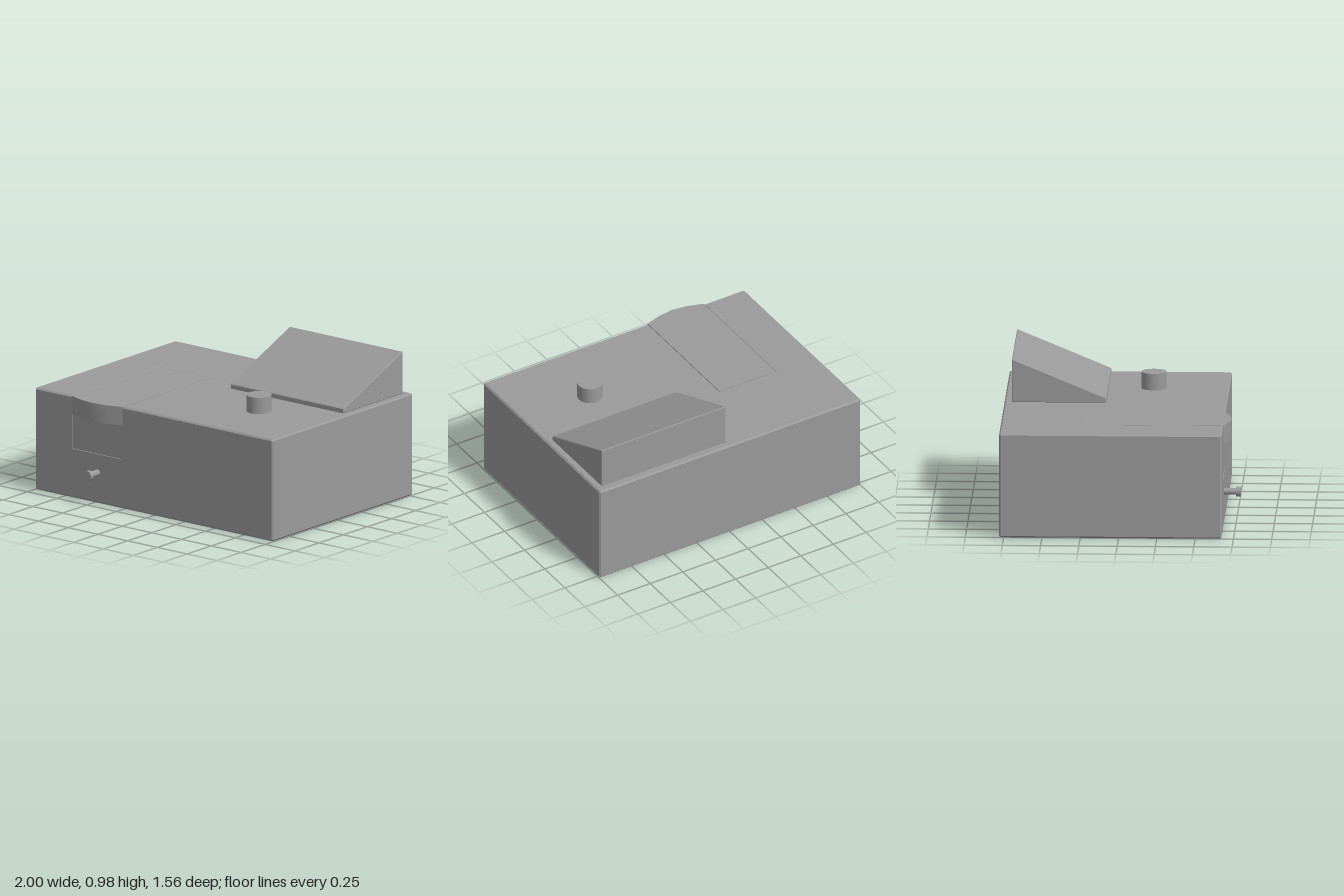
import * as THREE from 'three';
import { toCreasedNormals } from 'three/addons/utils/BufferGeometryUtils.js';

const material = new THREE.MeshStandardMaterial({ color: 0x9a9a9a });
const CHAMFER = 0.01;

// Slab from a plan outline of [x, z] points, with optional chamfers below and above
function slab(plan, y0, y1, low = false, high = false) {
  const shape = new THREE.Shape(plan.map(([x, z]) => new THREE.Vector2(x, -z)));
  const base = low ? CHAMFER : 0;
  const geo = new THREE.ExtrudeGeometry(shape, {
    depth: y1 - y0 - base - (high ? CHAMFER : 0),
    bevelEnabled: low || high,
    bevelSegments: 1,
    bevelThickness: CHAMFER,
    bevelSize: CHAMFER,
    bevelOffset: -CHAMFER,
  });
  geo.rotateX(-Math.PI / 2).translate(0, y0 + base, 0);
  // flatten the bevel on the unchamfered end
  const p = geo.attributes.position;
  for (let i = 0; i < p.count; i++) p.setY(i, Math.min(y1, Math.max(y0, p.getY(i))));
  geo.computeVertexNormals();
  return geo;
}

export function createModel() {
  const group = new THREE.Group();
  const add = (name, geo, x = 0, y = 0, z = 0) => {
    const mesh = new THREE.Mesh(geo, material);
    mesh.name = name;
    mesh.position.set(x, y, z);
    group.add(mesh);
  };

  // Main case: plain lower block, upper block notched for the lid
  const c = CHAMFER, back = -0.78, front = 0.672, seam = 0.332, top = 0.69;
  const lidL = -0.69, lidR = -0.262, lidBack = -0.22;
  const lap = 0.004; // notch walls start just inside the lid, leaving a fine groove
  const rim = [
    [1, front - c], [1, back + c], [1 - c, back],
    [-1 + c, back], [-1, back + c], [-1, front - c], [-1 + c, front],
  ];
  const notch = [
    [lidL + lap, front], [lidL + lap, lidBack + lap],
    [lidR - lap, lidBack + lap], [lidR - lap, front],
  ];
  add('lowerCase', slab([...rim, [1 - c, front]], 0, seam, true, false));
  add('upperCase', slab([...rim, ...notch, [1 - c, front]], seam, top, false, true));

  // Lid set into the notch, with a smooth bowed front lip over a flat panel
  const bow = [];
  for (let i = 0; i <= 4; i++) {
    const t = i / 4;
    bow.push([lidL + (lidR - lidL) * t, 0.674 + 0.049 * Math.sin(Math.PI * t)]);
  }
  const lid = slab([...bow, [lidR, lidBack], [lidL, lidBack]], 0.565, top);
  add('lid', toCreasedNormals(lid, 0.6));
  add('frontPanel', slab(
    [[lidL, 0.669], [lidR, 0.669], [lidR, lidBack], [lidL, lidBack]], seam + 0.002, 0.565));

  // Sloping display housing with finely eased edges
  const ease = 0.004;
  const side = new THREE.Shape([
    [0.115, top], [0.73, top], [0.73, 0.971], [0.726, 0.975], [0.121, 0.724], [0.115, 0.718],
  ].map(([u, v]) => new THREE.Vector2(u, v)));
  const wedge = new THREE.ExtrudeGeometry(side, {
    depth: 0.952 - 2 * ease, bevelSegments: 1,
    bevelThickness: ease, bevelSize: ease, bevelOffset: -ease,
  });
  wedge.rotateY(Math.PI / 2);
  add('slopedHousing', wedge, 0.004 + ease, 0, 0);

  // Round knob on top
  add('knob', new THREE.CylinderGeometry(0.083, 0.083, 0.11, 24), 0.485, 0.745, 0.18);

  // Small button on the front: stem and head
  const rod = (r, len) => new THREE.CylinderGeometry(r, r, len, 16).rotateX(Math.PI / 2);
  add('buttonStem', rod(0.022, 0.09), -0.474, 0.207, 0.71);
  add('buttonHead', rod(0.033, 0.03), -0.474, 0.207, 0.765);

  return group;
}
